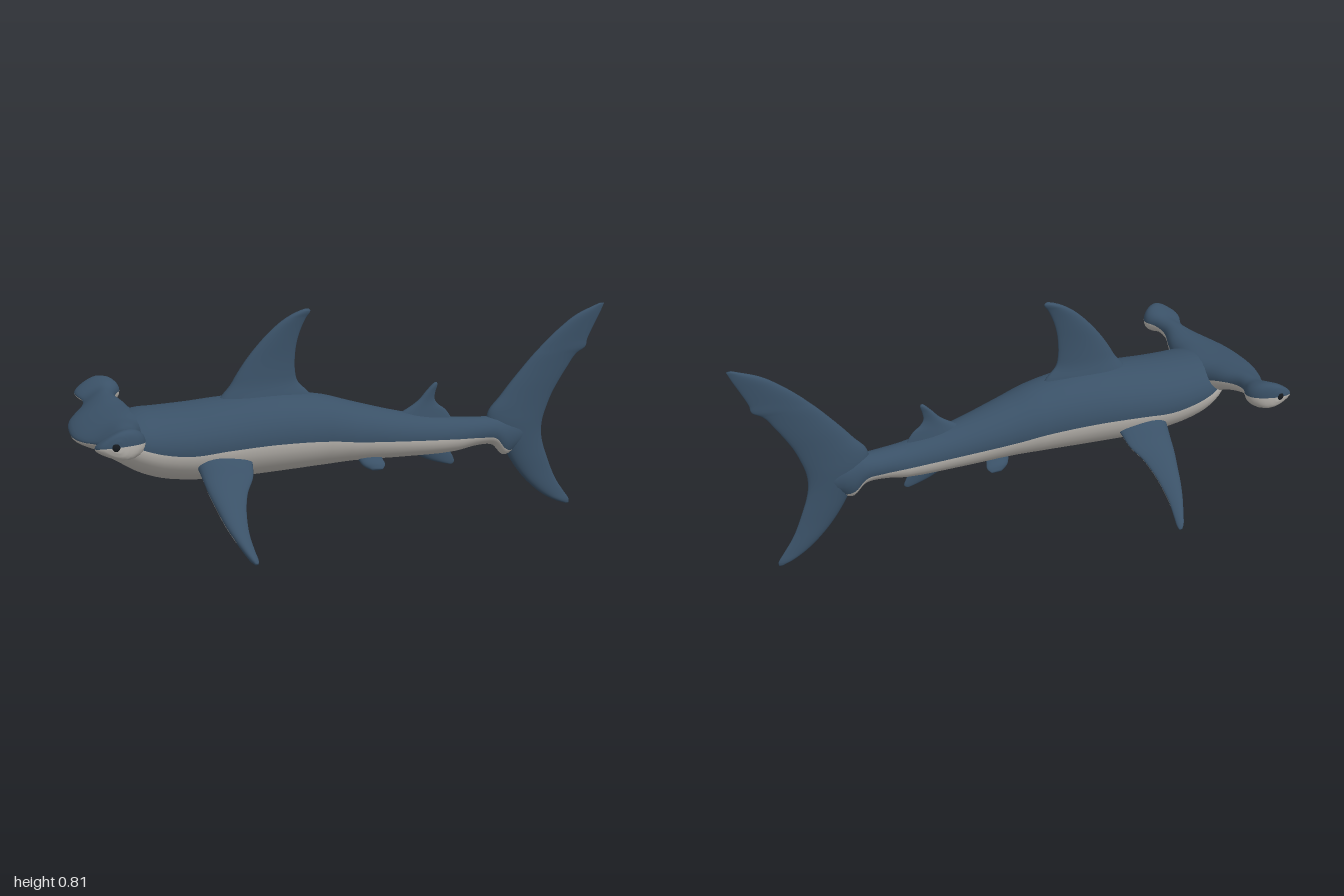
import * as THREE from 'three';

const slate = new THREE.MeshStandardMaterial({ color: 0x3a5167 });
slate.name = 'slate blue';
const belly = new THREE.MeshStandardMaterial({ color: 0xbab6b0 });
belly.name = 'pale belly';
const dark = new THREE.MeshStandardMaterial({ color: 0x15191e });
dark.name = 'eye black';

const HALF = 14; // segments in the upper and in the lower half of each ring

// Smoothly fills in cross-sections between table rows; column 0 is the station.
function refine(rows, steps) {
  const size = rows[0].length;
  const curve = new THREE.CubicInterpolant(rows.map(r => r[0]), rows.flat(), size);
  const out = [];
  for (let i = 0; i < rows.length - 1; i++) {
    for (let k = 0; k < steps; k++) {
      const t = THREE.MathUtils.lerp(rows[i][0], rows[i + 1][0], k / steps);
      out.push(Array.from(curve.evaluate(t)));
    }
  }
  out.push(rows[rows.length - 1]);
  return out;
}

// Skins closed rings with capped ends. ring(row, angle) gives a point;
// pale(row, upper) picks the belly colour for a half ring.
function loft(name, rows, ring, pale = () => false, steps = 4) {
  const sections = refine(rows, steps);
  const n = HALF * 2;
  const points = [];
  const faces = [[], []];
  for (const row of sections) {
    for (let j = 0; j < n; j++) points.push(new THREE.Vector3(...ring(row, (j / n) * Math.PI * 2)));
  }
  const last = (sections.length - 1) * n;
  for (const start of [0, last]) {
    const centre = new THREE.Vector3();
    for (let j = 0; j < n; j++) centre.addScaledVector(points[start + j], 1 / n);
    points.push(centre);
  }
  for (let j = 0; j < n; j++) {
    const k = (j + 1) % n;
    const upper = j < HALF;
    sections.forEach((row, i) => {
      const target = faces[pale(row, upper) ? 1 : 0];
      const a = i * n + j, b = i * n + k;
      if (i === 0) target.push(b, a, last + n);
      if (a >= last) target.push(a, b, last + n + 1);
      else target.push(a, b, b + n, a, b + n, a + n);
    });
  }
  // Turn the faces outward whichever side the part is mirrored to
  const middle = points[last + n].clone().add(points[last + n + 1]).multiplyScalar(0.5);
  const index = [...faces[0], ...faces[1]];
  let volume = 0;
  for (let i = 0; i < index.length; i += 3) {
    const [a, b, c] = [0, 1, 2].map(q => points[index[i + q]].clone().sub(middle));
    volume += a.dot(b.cross(c));
  }
  if (volume < 0) {
    for (let i = 0; i < index.length; i += 3) [index[i], index[i + 1]] = [index[i + 1], index[i]];
  }
  const geometry = new THREE.BufferGeometry().setFromPoints(points);
  geometry.setIndex(index);
  geometry.addGroup(0, faces[0].length, 0);
  geometry.addGroup(faces[0].length, faces[1].length, 1);
  geometry.computeVertexNormals();
  const mesh = new THREE.Mesh(geometry, [slate, belly]);
  mesh.name = name;
  return mesh;
}

// Streamlined fin section: chord from x0 to x1, thickest toward the front
function foil(x0, x1, thick, a) {
  const c = Math.cos(a);
  return [(x0 + x1) / 2 + ((x1 - x0) / 2) * c, thick * Math.sin(a) * (1 - 0.3 * c)];
}

// Upright fin on the centre line; rows are [y, front x, back x, half thickness]
function uprightFin(name, rows) {
  return loft(name, rows, ([y, x0, x1, t], a) => {
    const [x, z] = foil(x0, x1, t, a);
    return [x, y, z];
  });
}

// Side fin sloping down; rows are [z, front x, back x, half thickness, y]
function sideFin(name, rows, side, pale) {
  return loft(name, rows, ([z, x0, x1, t, y], a) => {
    const [x, h] = foil(x0, x1, t, a);
    return [x, y + h * 0.8, side * (z + h * 0.6)];
  }, pale);
}

export function createModel() {
  const shark = new THREE.Group();
  shark.name = 'hammerheadShark';

  // Body: [x, top, bottom, half width, height of the colour line]
  const bodyRows = [
    [-0.90, 0.42, 0.37, 0.03, 0.41], [-0.88, 0.45, 0.348, 0.08, 0.42],
    [-0.84, 0.48, 0.322, 0.13, 0.42], [-0.78, 0.50, 0.285, 0.16, 0.40],
    [-0.70, 0.505, 0.255, 0.167, 0.375], [-0.60, 0.51, 0.24, 0.17, 0.362],
    [-0.48, 0.52, 0.235, 0.167, 0.37], [-0.30, 0.528, 0.24, 0.152, 0.375],
    [-0.10, 0.505, 0.25, 0.13, 0.365], [0, 0.475, 0.255, 0.115, 0.35],
    [0.20, 0.42, 0.252, 0.085, 0.33], [0.40, 0.385, 0.255, 0.061, 0.315],
    [0.50, 0.378, 0.272, 0.053, 0.31], [0.56, 0.376, 0.265, 0.048, 0.30],
    [0.60, 0.372, 0.225, 0.043, 0.255], [0.64, 0.365, 0.24, 0.035, 0.247],
    [0.72, 0.34, 0.30, 0.015, 0.305],
  ];
  shark.add(loft('body', bodyRows, ([x, top, bottom, w, line], a) => {
    const mid = (top + bottom) / 2, h = (top - bottom) / 2;
    const seam = Math.asin(THREE.MathUtils.clamp((line - mid) / h, -0.95, 0.95));
    const angle = a <= Math.PI
      ? seam + (Math.PI - 2 * seam) * (a / Math.PI)
      : Math.PI - seam + (Math.PI + 2 * seam) * (a / Math.PI - 1);
    return [x, mid + h * Math.sin(angle), w * Math.cos(angle)];
  }, (row, upper) => !upper));

  // Hammer head: [z, front x, back x, top, bottom, height of the leading edge]
  const wing = [
    [0.10, -0.993, -0.76, 0.50, 0.375, 0.44], [0.18, -0.968, -0.785, 0.505, 0.415, 0.445],
    [0.25, -0.935, -0.81, 0.51, 0.435, 0.455], [0.31, -0.925, -0.805, 0.515, 0.448, 0.465],
    [0.36, -0.945, -0.785, 0.53, 0.438, 0.475], [0.40, -0.945, -0.805, 0.536, 0.438, 0.48],
    [0.42, -0.925, -0.84, 0.525, 0.452, 0.485], [0.427, -0.90, -0.865, 0.505, 0.472, 0.487],
  ];
  const headRows = [
    ...wing.map(([z, ...rest]) => [-z, ...rest]).reverse(),
    [0, -1, -0.72, 0.50, 0.355, 0.44],
    ...wing,
  ];
  shark.add(loft('hammerHead', headRows, ([z, x0, x1, top, bottom, edge], a) => {
    const s = (1 + Math.cos(a)) / 2;
    const mid = THREE.MathUtils.lerp(edge, (top + bottom) / 2, Math.min(1, s * 1.6));
    const h = ((top - bottom) / 2) * Math.sin(a) * (0.4 + 0.6 * s) / 0.76;
    return [x0 + (x1 - x0) * s, mid + h, z];
  }, (row, upper) => !upper));

  // Fins on the centre line
  shark.add(uprightFin('dorsalFin', [
    [0.46, -0.52, -0.12, 0.06], [0.52, -0.475, -0.155, 0.042], [0.56, -0.44, -0.193, 0.031],
    [0.60, -0.415, -0.203, 0.025], [0.65, -0.38, -0.203, 0.02], [0.70, -0.338, -0.196, 0.017],
    [0.75, -0.288, -0.18, 0.014], [0.79, -0.235, -0.16, 0.012], [0.812, -0.19, -0.145, 0.01],
    [0.82, -0.165, -0.15, 0.004],
  ]));
  shark.add(uprightFin('secondDorsalFin', [
    [0.37, 0.12, 0.40, 0.03], [0.42, 0.20, 0.365, 0.018], [0.44, 0.235, 0.338, 0.014],
    [0.46, 0.263, 0.325, 0.011], [0.49, 0.29, 0.328, 0.009], [0.515, 0.315, 0.335, 0.007],
    [0.522, 0.323, 0.333, 0.003],
  ]));
  shark.add(uprightFin('analFin', [
    [0.205, 0.385, 0.40, 0.004], [0.212, 0.355, 0.406, 0.007],
    [0.23, 0.30, 0.402, 0.012], [0.27, 0.23, 0.38, 0.02],
  ]));
  shark.add(uprightFin('tailFin', [
    [0.006, 0.868, 0.885, 0.004], [0.02, 0.83, 0.885, 0.01], [0.05, 0.775, 0.865, 0.013],
    [0.10, 0.715, 0.83, 0.016], [0.15, 0.67, 0.805, 0.018], [0.20, 0.635, 0.785, 0.021],
    [0.25, 0.605, 0.767, 0.024], [0.30, 0.565, 0.757, 0.028], [0.35, 0.535, 0.76, 0.03],
    [0.40, 0.54, 0.775, 0.027], [0.45, 0.582, 0.795, 0.023], [0.50, 0.622, 0.823, 0.02],
    [0.55, 0.665, 0.855, 0.017], [0.60, 0.71, 0.892, 0.015], [0.62, 0.73, 0.924, 0.014],
    [0.65, 0.76, 0.932, 0.013], [0.70, 0.818, 0.955, 0.012], [0.75, 0.89, 0.98, 0.01],
    [0.785, 0.975, 0.995, 0.004],
  ]));

  // Paired fins and eyes
  const pectoralRows = [
    [0.12, -0.59, -0.39, 0.042, 0.325], [0.16, -0.583, -0.395, 0.033, 0.306],
    [0.20, -0.575, -0.404, 0.025, 0.279], [0.25, -0.565, -0.433, 0.023, 0.244],
    [0.30, -0.55, -0.449, 0.021, 0.209], [0.35, -0.535, -0.457, 0.019, 0.174],
    [0.40, -0.515, -0.459, 0.016, 0.14], [0.45, -0.49, -0.453, 0.013, 0.104],
    [0.48, -0.473, -0.449, 0.01, 0.084], [0.49, -0.463, -0.452, 0.004, 0.077],
  ];
  const pelvicRows = [
    [0.035, 0.01, 0.10, 0.018, 0.285], [0.055, 0.02, 0.108, 0.015, 0.262],
    [0.073, 0.035, 0.112, 0.012, 0.245], [0.084, 0.06, 0.10, 0.005, 0.233],
  ];
  for (const side of [1, -1]) {
    const hand = side > 0 ? 'Front' : 'Back';
    shark.add(sideFin('pectoralFin' + hand, pectoralRows, side, (row, upper) => !upper && row[0] < 0.41));
    shark.add(sideFin('pelvicFin' + hand, pelvicRows, side));
    const eye = new THREE.Mesh(new THREE.SphereGeometry(0.014, 16, 12), dark);
    eye.name = 'eye' + hand;
    eye.scale.z = 0.5;
    eye.position.set(-0.885, 0.488, side * 0.424);
    shark.add(eye);
  }
  return shark;
}
